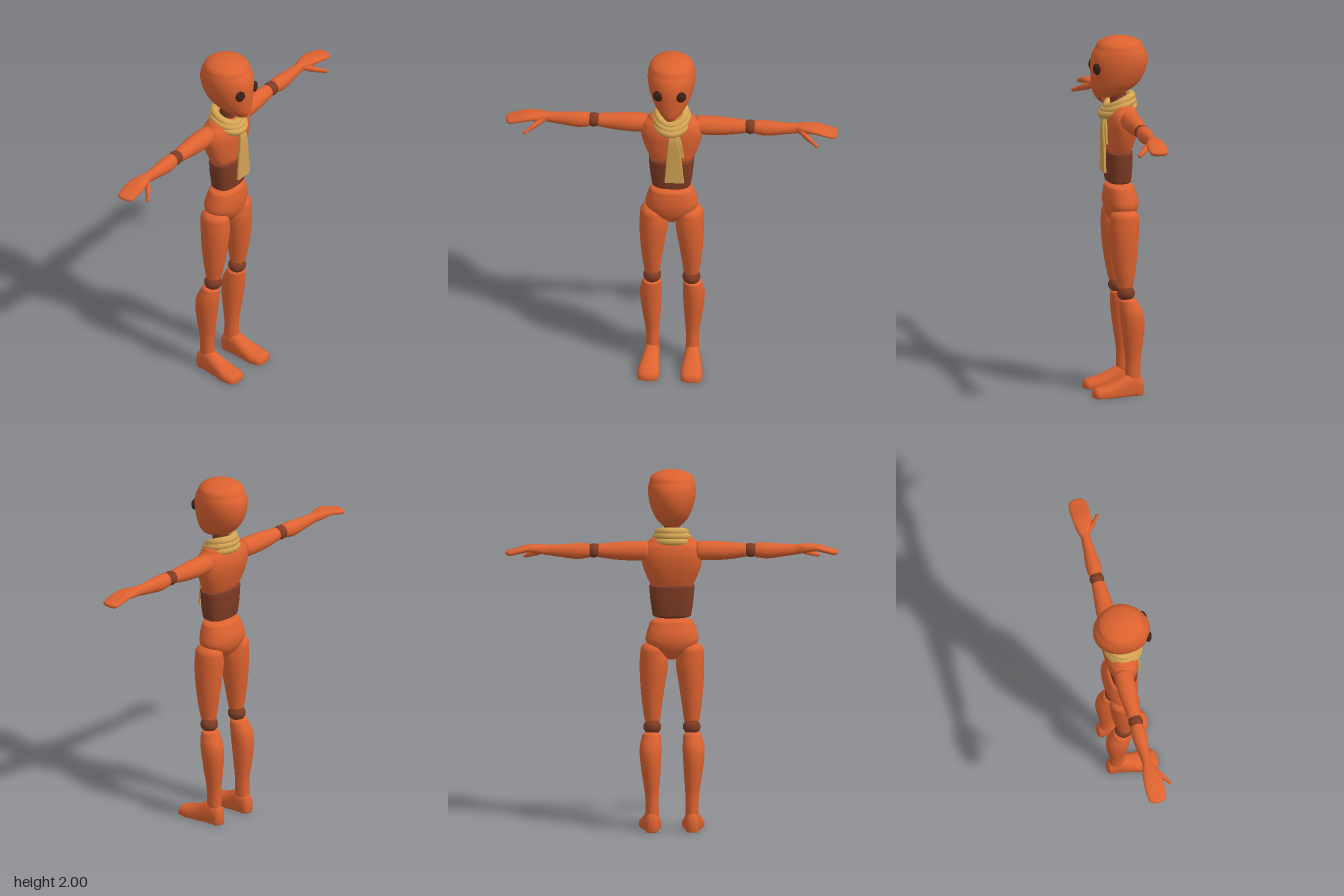
import * as THREE from 'three';

const mat = (name, color, side = THREE.FrontSide) => {
  const m = new THREE.MeshStandardMaterial({ color, side });
  m.name = name;
  return m;
};

// Smooth loft along an axis. Each row: [position, uMin, uMax, vMin, vMax];
// (u, v) is (y, z) on axis x, (z, x) on axis y, (x, y) on axis z.
// dome0 / dome1 round off the ends, power < 1 makes the section boxier.
function loft(axis, rows, { dome0 = 0, dome1 = 0, power = 1, floor = -Infinity, seg = 36 } = {}) {
  const last = rows.length - 1;
  const slope = (i, k) => {
    const a = rows[Math.max(i - 1, 0)], b = rows[Math.min(i + 1, last)];
    return (b[k] - a[k]) / (b[0] - a[0]);
  };
  const rings = [];
  const dome = (row, d, dir, order) => {
    for (const n of order) {
      const a = n / 8 * Math.PI / 2, c = Math.max(Math.cos(a), 0.002);
      const mu = (row[1] + row[2]) / 2, mv = (row[3] + row[4]) / 2;
      const hu = (row[2] - row[1]) / 2 * c, hv = (row[4] - row[3]) / 2 * c;
      rings.push([row[0] + dir * d * Math.sin(a), mu - hu, mu + hu, mv - hv, mv + hv]);
    }
  };
  if (dome0) dome(rows[0], dome0, -1, [8, 7, 6, 5, 4, 3, 2, 1]);
  for (let i = 0; i < last; i++) {
    const h = rows[i + 1][0] - rows[i][0];
    for (let n = 0; n < 6; n++) {
      const t = n / 6, t2 = t * t, t3 = t2 * t;
      rings.push(rows[i].map((v, k) => k === 0 ? v + h * t :
        (2 * t3 - 3 * t2 + 1) * v + (t3 - 2 * t2 + t) * h * slope(i, k) +
        (3 * t2 - 2 * t3) * rows[i + 1][k] + (t3 - t2) * h * slope(i + 1, k)));
    }
  }
  rings.push(rows[last]);
  if (dome1) dome(rows[last], dome1, 1, [1, 2, 3, 4, 5, 6, 7, 8]);

  const pos = [], idx = [];
  const put = (t, u, v) => {
    const p = axis === 'x' ? [t, u, v] : axis === 'y' ? [v, t, u] : [u, v, t];
    pos.push(p[0], Math.max(p[1], floor), p[2]);
  };
  const ring = ([t, u0, u1, v0, v1]) => {
    for (let j = 0; j < seg; j++) {
      const a = j / seg * Math.PI * 2, c = Math.cos(a), s = Math.sin(a);
      put(t, (u0 + u1) / 2 + (u1 - u0) / 2 * Math.sign(c) * Math.abs(c) ** power,
        (v0 + v1) / 2 + (v1 - v0) / 2 * Math.sign(s) * Math.abs(s) ** power);
    }
  };
  rings.forEach(ring);
  for (let i = 0; i < rings.length - 1; i++) for (let j = 0; j < seg; j++) {
    const k = (j + 1) % seg, a = i * seg + j, b = i * seg + k;
    idx.push(a, b, b + seg, a, b + seg, a + seg);
  }
  // Flat end caps with their own corners
  [[rings[0], 1], [rings[rings.length - 1], 0]].forEach(([r, flip]) => {
    const base = pos.length / 3;
    ring(r);
    put(r[0], (r[1] + r[2]) / 2, (r[3] + r[4]) / 2);
    for (let j = 0; j < seg; j++) {
      const a = base + j, b = base + (j + 1) % seg;
      idx.push(base + seg, flip ? b : a, flip ? a : b);
    }
  });
  const g = new THREE.BufferGeometry();
  g.setAttribute('position', new THREE.Float32BufferAttribute(pos, 3));
  g.setIndex(idx);
  g.computeVertexNormals();
  return g;
}

// Mirror a geometry to the other side, keeping faces outward
function mirrored(geo) {
  const g = geo.clone(), p = g.attributes.position, ix = g.index;
  for (let i = 0; i < p.count; i++) p.setX(i, -p.getX(i));
  for (let i = 0; i < ix.count; i += 3) {
    const a = ix.getX(i);
    ix.setX(i, ix.getX(i + 1));
    ix.setX(i + 1, a);
  }
  g.computeVertexNormals();
  return g;
}

export function createModel() {
  const model = new THREE.Group();
  model.name = 'mannequin';
  const orange = mat('orange body', 0xdd6230);
  const brown = mat('brown joints', 0x7d3b24);
  const dark = mat('dark eyes', 0x3a2015);
  const tan = mat('tan scarf', 0xd4a453);
  const add = (name, geo, material) => {
    const m = new THREE.Mesh(geo, material);
    m.name = name;
    model.add(m);
  };
  const pair = (name, geo, material) => {
    add(name + 'Left', geo, material);
    add(name + 'Right', mirrored(geo), material);
  };
  // Rows for the centred parts: [y, back z, front z, half width]
  const body = rows => rows.map(([y, z0, z1, w]) => [y, z0, z1, -w, w]);

  // Head and neck
  add('head', loft('y', body([
    [1.67, 0.0, 0.125, 0.036], [1.70, -0.07, 0.138, 0.066], [1.74, -0.12, 0.143, 0.094],
    [1.80, -0.155, 0.147, 0.118], [1.86, -0.169, 0.147, 0.13], [1.91, -0.163, 0.136, 0.13],
    [1.945, -0.143, 0.115, 0.122],
  ]), { dome0: 0.01, dome1: 0.055, seg: 48 }), orange);
  const eye = new THREE.SphereGeometry(1, 24, 16);
  eye.scale(0.029, 0.032, 0.017).rotateY(0.3).translate(0.063, 1.835, 0.127);
  pair('eye', eye, dark);
  add('neck', loft('y', body([[1.58, -0.06, 0.03, 0.045], [1.72, -0.045, 0.045, 0.042]])), brown);

  // Torso
  add('chest', loft('y', body([
    [1.355, -0.068, 0.055, 0.112], [1.40, -0.085, 0.062, 0.135], [1.47, -0.105, 0.068, 0.16],
    [1.53, -0.112, 0.07, 0.17], [1.58, -0.105, 0.06, 0.158], [1.61, -0.09, 0.045, 0.125],
  ]), { dome0: 0.015, dome1: 0.03, power: 0.85 }), orange);
  add('belly', loft('y', body([
    [1.195, -0.072, 0.062, 0.106], [1.27, -0.078, 0.068, 0.117], [1.355, -0.08, 0.07, 0.125],
  ]), { dome0: 0.02, dome1: 0.018, power: 0.75 }), brown);
  add('pelvis', loft('y', body([
    [0.96, -0.06, 0.03, 0.035], [1.0, -0.095, 0.058, 0.1], [1.05, -0.113, 0.072, 0.143],
    [1.10, -0.11, 0.075, 0.138], [1.155, -0.09, 0.068, 0.12],
  ]), { dome0: 0.012, dome1: 0.025, power: 0.9 }), orange);

  // Legs
  pair('thigh', loft('y', [
    [0.615, -0.065, 0.022, 0.065, 0.15], [0.70, -0.078, 0.04, 0.054, 0.163],
    [0.82, -0.092, 0.058, 0.036, 0.174], [0.93, -0.1, 0.066, 0.021, 0.177],
    [1.0, -0.1, 0.062, 0.03, 0.173],
  ], { dome0: 0.02, dome1: 0.05 }), orange);
  const knee = new THREE.SphereGeometry(1, 28, 18);
  knee.scale(0.049, 0.042, 0.049).translate(0.108, 0.575, -0.026);
  pair('knee', knee, brown);
  pair('shin', loft('y', [
    [0.10, -0.108, -0.022, 0.073, 0.145], [0.20, -0.108, -0.022, 0.073, 0.148],
    [0.30, -0.12, -0.01, 0.066, 0.163], [0.40, -0.128, 0.003, 0.06, 0.176],
    [0.47, -0.118, 0.01, 0.058, 0.177], [0.53, -0.088, 0.012, 0.062, 0.163],
  ], { dome0: 0.01, dome1: 0.02 }), orange);
  pair('foot', loft('z', [
    [-0.10, 0.075, 0.147, -0.03, 0.105], [-0.06, 0.069, 0.152, -0.03, 0.126],
    [-0.025, 0.067, 0.158, -0.03, 0.116], [0.03, 0.062, 0.168, -0.03, 0.086],
    [0.09, 0.057, 0.18, -0.03, 0.061], [0.135, 0.061, 0.177, -0.03, 0.05],
  ], { dome0: 0.026, dome1: 0.03, floor: 0, power: 0.85 }), orange);

  // Arms
  pair('upperArm', loft('x', [
    [0.15, 1.503, 1.608, -0.092, 0.015], [0.23, 1.502, 1.608, -0.093, 0.014],
    [0.32, 1.508, 1.602, -0.085, 0.005], [0.40, 1.52, 1.595, -0.077, -0.003],
  ], { dome0: 0.03, dome1: 0.012 }), orange);
  pair('elbow', loft('x', [
    [0.41, 1.523, 1.593, -0.075, -0.005], [0.43, 1.518, 1.597, -0.08, 0.0],
    [0.45, 1.522, 1.593, -0.075, -0.005],
  ], { dome0: 0.01, dome1: 0.01 }), brown);
  pair('forearm', loft('x', [
    [0.46, 1.518, 1.597, -0.078, -0.002], [0.52, 1.511, 1.598, -0.081, 0.001],
    [0.61, 1.522, 1.592, -0.071, -0.009], [0.70, 1.535, 1.59, -0.064, -0.016],
  ], { dome0: 0.012, dome1: 0.02 }), orange);
  pair('hand', loft('x', [
    [0.68, 1.536, 1.589, -0.064, -0.017], [0.73, 1.542, 1.592, -0.079, 0.002],
    [0.79, 1.55, 1.588, -0.086, 0.018], [0.85, 1.538, 1.572, -0.087, 0.02],
    [0.885, 1.529, 1.561, -0.084, 0.017],
  ], { dome0: 0.015, dome1: 0.029, power: 0.8 }), orange);
  pair('thumb', loft('x', [
    [0.705, 1.54, 1.574, -0.04, -0.005], [0.74, 1.523, 1.56, -0.012, 0.026],
    [0.775, 1.512, 1.541, 0.018, 0.048], [0.80, 1.503, 1.526, 0.045, 0.068],
  ], { dome0: 0.01, dome1: 0.014, seg: 18 }), orange);

  // Scarf: wraps that rise at the back and meet low in front
  [[0.075, 0.08, 1.668, 1.605], [0.085, 0.087, 1.642, 1.585], [0.088, 0.092, 1.612, 1.565]]
    .forEach(([rx, rz, yBack, yFront], n) => {
      const pts = [];
      for (let i = 0; i < 20; i++) {
        const a = i / 20 * Math.PI * 2, f = (1 + Math.cos(a)) / 2;
        pts.push(new THREE.Vector3(rx * Math.sin(a), yBack + (yFront - yBack) * f ** 1.6,
          rz * Math.cos(a) * (0.85 + 0.1 * n * f) - 0.012));
      }
      add('scarfWrap' + (n + 1),
        new THREE.TubeGeometry(new THREE.CatmullRomCurve3(pts, true), 72, 0.022, 12, true), tan);
    });
  const knot = new THREE.SphereGeometry(1, 20, 14);
  knot.scale(0.03, 0.034, 0.022).rotateZ(-0.5).translate(0.018, 1.565, 0.07);
  add('scarfKnot', knot, tan);
  add('scarfLongTail', loft('y', [
    [1.25, 0.075, 0.091, -0.032, 0.077], [1.40, 0.075, 0.091, -0.02, 0.061],
    [1.51, 0.073, 0.092, -0.01, 0.046], [1.575, 0.05, 0.08, -0.004, 0.034],
  ], { power: 0.3 }), tan);
  add('scarfShortTail', loft('y', [
    [1.41, 0.066, 0.08, 0.028, 0.075], [1.50, 0.066, 0.08, 0.018, 0.062],
    [1.575, 0.045, 0.07, 0.008, 0.038],
  ], { power: 0.3 }), tan);
  return model;
}
